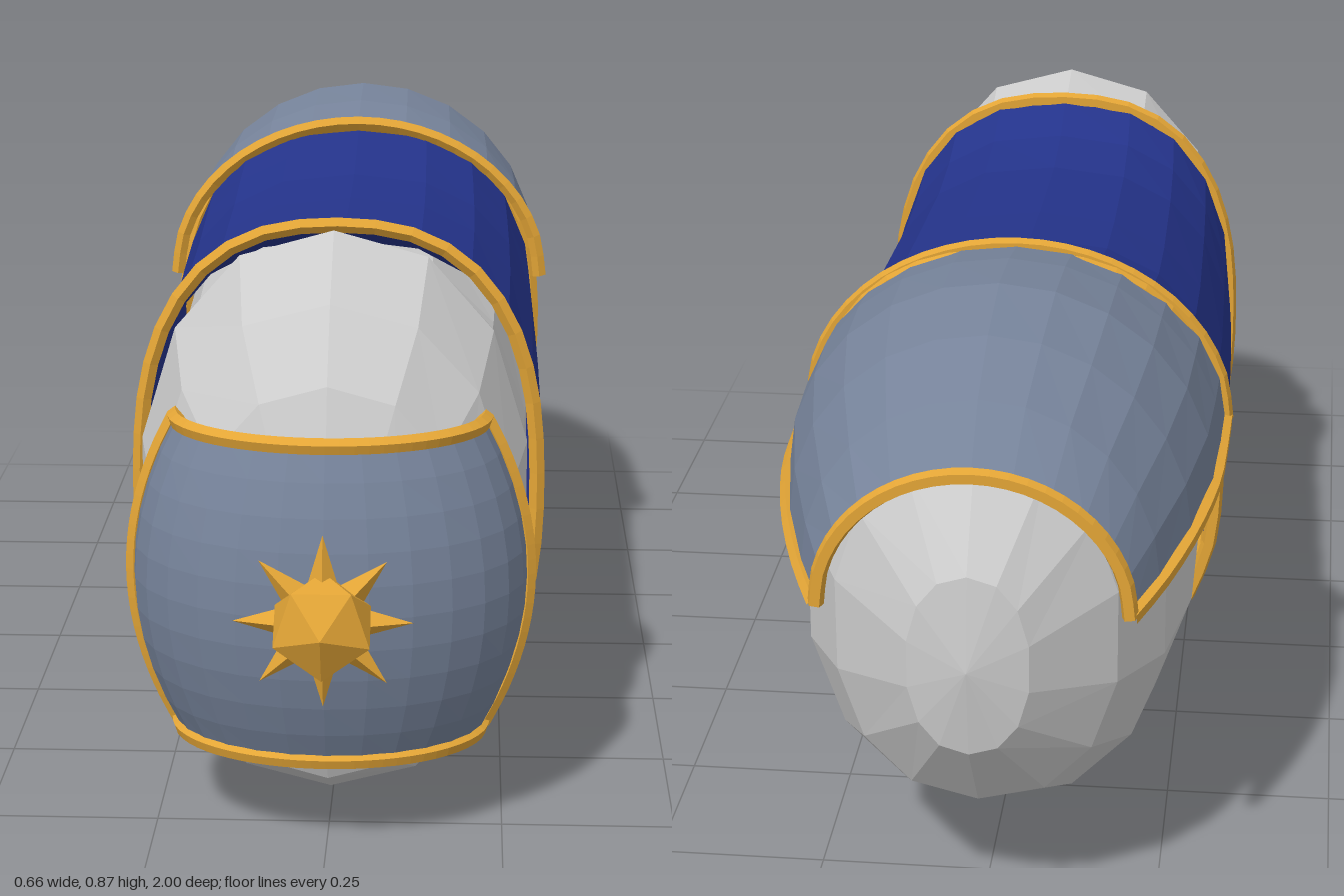
import * as THREE from 'three';

const mat = (color, side = THREE.FrontSide) =>
  new THREE.MeshStandardMaterial({ color, side, flatShading: true });
const coat = mat(0xcccccc);
const steel = mat(0x76839a, THREE.DoubleSide);
const cloth = mat(0x24338a, THREE.DoubleSide);
const gold = mat(0xe3a536);

const spow = (v, p) => Math.sign(v) * Math.abs(v) ** p;

// Cross-section arc from angle a0 to a1, measured from the top, superellipse power p
function arc(z, yc, rx, ry, a0, a1, n, p) {
  return Array.from({ length: n + 1 }, (_, j) => {
    const a = a0 + ((a1 - a0) * j) / n;
    return new THREE.Vector3(rx * spow(Math.sin(a), p), yc + ry * spow(Math.cos(a), p), z);
  });
}

// Skin a list of equal-length rows of points
function loft(name, rows, material) {
  const n = rows[0].length, index = [];
  for (let i = 0; i < rows.length - 1; i++)
    for (let j = 0; j < n - 1; j++) {
      const a = i * n + j, c = a + n;
      index.push(a, a + 1, c, a + 1, c + 1, c);
    }
  const geo = new THREE.BufferGeometry().setFromPoints(rows.flat());
  geo.setIndex(index);
  geo.computeVertexNormals();
  const mesh = new THREE.Mesh(geo, material);
  mesh.name = name;
  return mesh;
}

// Panel with a gold strip along each of its four borders
function trimmedPanel(name, rows, material) {
  const group = new THREE.Group();
  group.name = name;
  group.add(loft(name + 'Sheet', rows, material));
  const last = rows[0].length - 1;
  const edges = [rows[0], rows[rows.length - 1], rows.map(r => r[0]), rows.map(r => r[last])];
  for (const pts of edges) {
    const curve = new THREE.CatmullRomCurve3(pts);
    const strip = new THREE.Mesh(new THREE.TubeGeometry(curve, pts.length * 2, 0.012, 5), gold);
    strip.name = name + 'Trim';
    group.add(strip);
  }
  return group;
}

export function createModel() {
  const model = new THREE.Group();
  model.name = 'armouredBody';

  // Barrel-shaped body: z, bottom, top, half width
  const stations = [
    [0.875, 0.37, 0.37, 0], [0.85, 0.22, 0.52, 0.12], [0.79, 0.085, 0.665, 0.2],
    [0.7, 0.035, 0.76, 0.262], [0.58, 0, 0.84, 0.288], [0.455, 0.005, 0.805, 0.288],
    [0.37, 0.013, 0.77, 0.288], [0.25, 0.022, 0.75, 0.292], [0, 0.045, 0.755, 0.3],
    [-0.15, 0.06, 0.765, 0.3], [-0.36, 0.13, 0.805, 0.29], [-0.58, 0.105, 0.845, 0.29],
    [-0.76, 0.13, 0.81, 0.26], [-0.88, 0.2, 0.735, 0.2], [-0.98, 0.33, 0.6, 0.085],
    [-1, 0.465, 0.465, 0],
  ];
  model.add(loft('body', stations.map(([z, b, t, rx]) =>
    arc(z, (b + t) / 2, rx, (t - b) / 2, 0, Math.PI * 2, 14, 0.9)), coat));

  // Saddle cloth: z, hem height, top, half width
  const drape = [
    [0.455, 0.172, 0.822, 0.3], [0.37, 0.17, 0.782, 0.306], [0.25, 0.172, 0.764, 0.31],
    [0, 0.185, 0.77, 0.316], [-0.15, 0.202, 0.78, 0.316], [-0.25, 0.235, 0.8, 0.313],
    [-0.355, 0.268, 0.822, 0.308],
  ];
  const A = THREE.MathUtils.degToRad(123);
  model.add(trimmedPanel('saddleCloth', drape.map(([z, hem, top, rx]) => {
    const ry = (top - hem) / 1.615;
    return arc(z, top - ry, rx, ry, -A, A, 14, 0.8);
  }), cloth));

  // Rump armour: z, hem height, top, half width
  const rump = [
    [-0.338, 0.565, 0.835, 0.32], [-0.45, 0.568, 0.856, 0.318], [-0.58, 0.565, 0.866, 0.312],
    [-0.72, 0.553, 0.842, 0.287], [-0.84, 0.535, 0.797, 0.25], [-0.925, 0.522, 0.722, 0.215],
  ];
  model.add(trimmedPanel('rumpArmour', rump.map(([z, hem, top, rx]) =>
    arc(z, hem, rx, top - hem, -Math.PI / 2, Math.PI / 2, 12, 1)), steel));

  // Bulging chest plate, rows from bottom to top
  const chestRows = Array.from({ length: 11 }, (_, i) => {
    const t = i / 5 - 1;
    const w = 0.283 - 0.063 * t * t, d = 0.215 - 0.06 * t * t;
    return Array.from({ length: 15 }, (_, j) => {
      const a = (j / 14 - 0.5) * Math.PI;
      return new THREE.Vector3(w * Math.sin(a), 0.368 + 0.23 * t, 0.697 + d * Math.cos(a));
    });
  });
  model.add(trimmedPanel('chestPlate', chestRows, steel));

  // Star boss: faceted stud with eight spikes
  const star = new THREE.Group();
  star.name = 'starBoss';
  star.position.set(0, 0.37, 0.94);
  const studGeo = new THREE.IcosahedronGeometry(0.077, 0).rotateX(0.5536).scale(1, 1, 0.78);
  const stud = new THREE.Mesh(studGeo, gold);
  stud.name = 'stud';
  star.add(stud);
  const spikeGeo = new THREE.ConeGeometry(0.022, 0.075, 4).translate(0, 0.086, -0.02);
  for (let i = 0; i < 8; i++) {
    const spike = new THREE.Mesh(spikeGeo, gold);
    spike.name = 'spike';
    spike.rotation.z = (i * Math.PI) / 4;
    star.add(spike);
  }
  model.add(star);
  return model;
}
